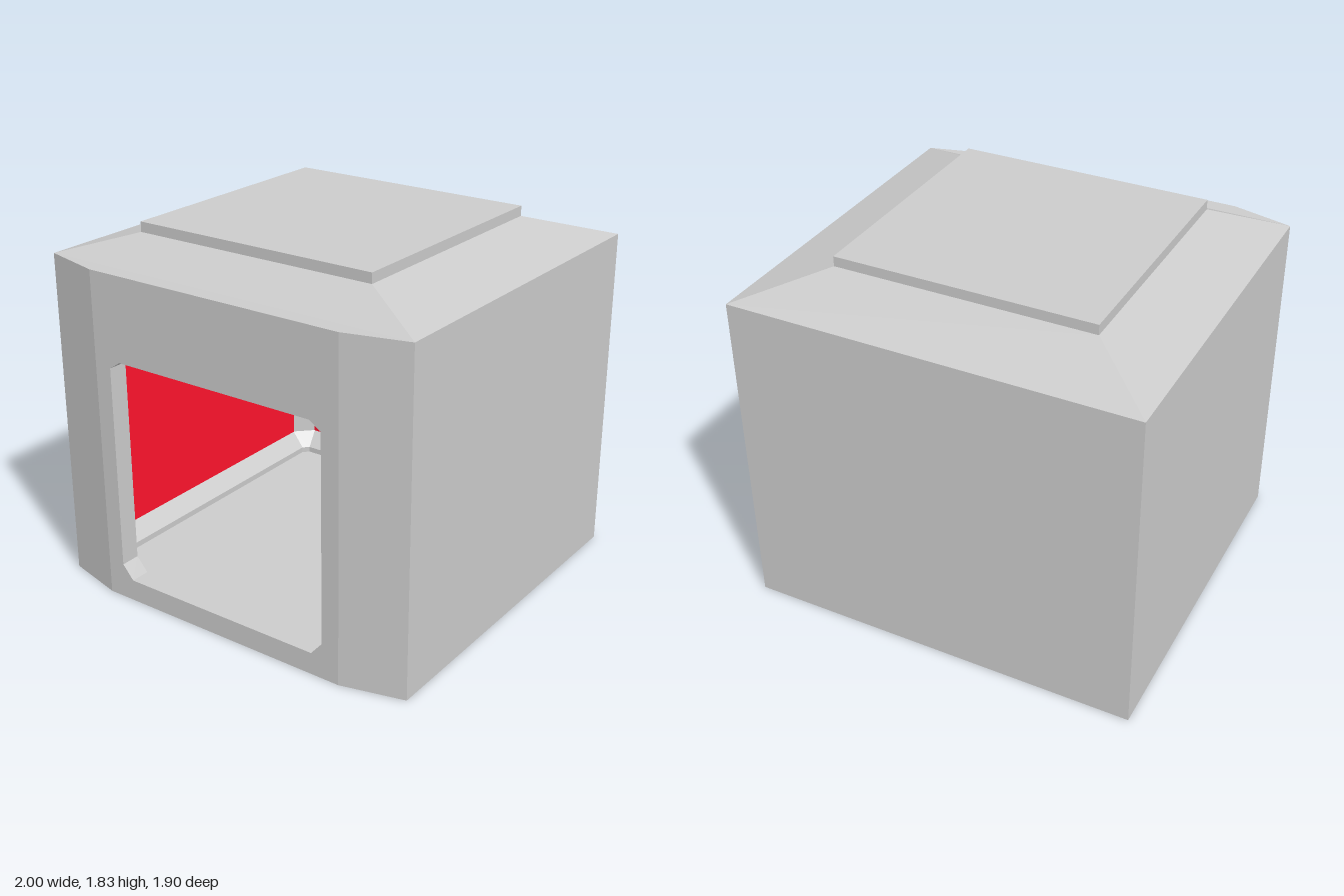
import * as THREE from 'three';

const grey = new THREE.MeshStandardMaterial({ color: 0xcccccc, flatShading: true, side: THREE.DoubleSide });
const red = new THREE.MeshStandardMaterial({ color: 0xff132d, flatShading: true, side: THREE.DoubleSide });

const H = 1.67; // wall height

// Solid with a plan outline of [x, z] points, from y0 to y1
function slab(plan, y0, y1) {
  const shape = new THREE.Shape(plan.map(([x, z]) => new THREE.Vector2(x, -z)));
  const g = new THREE.ExtrudeGeometry(shape, { depth: y1 - y0, bevelEnabled: false });
  return g.rotateX(-Math.PI / 2).translate(0, y0, 0);
}

// Flat-sided band joining two plan outlines at heights ya and yb
function band(a, ya, b, yb, closed = false) {
  const pos = [];
  const n = a.length;
  for (let i = 0; i < (closed ? n : n - 1); i++) {
    const j = (i + 1) % n;
    const p = [a[i][0], ya, a[i][1]], q = [a[j][0], ya, a[j][1]];
    const r = [b[j][0], yb, b[j][1]], s = [b[i][0], yb, b[i][1]];
    pos.push(...p, ...q, ...r, ...p, ...r, ...s);
  }
  const g = new THREE.BufferGeometry();
  g.setAttribute('position', new THREE.Float32BufferAttribute(pos, 3));
  g.computeVertexNormals();
  return g;
}

// Rectangle in plan, counter-clockwise from above
const rect = (x, back, front) => [[-x, front], [x, front], [x, back], [-x, back]];

export function createModel() {
  const model = new THREE.Group();
  const add = (name, geometry, material = grey) => {
    const mesh = new THREE.Mesh(geometry, material);
    mesh.name = name;
    model.add(mesh);
  };

  // Inner wall outline with cut back corners, open to the front
  const inner = [[-0.9, 0.85], [-0.9, -0.81], [-0.81, -0.9], [0.81, -0.9], [0.9, -0.81], [0.9, 0.85]];
  const inset = [[-0.82, 0.85], [-0.82, -0.79], [-0.79, -0.82], [0.79, -0.82], [0.82, -0.79], [0.82, 0.85]];

  // Side and back walls with angled front corners
  const outer = [[0.69, 0.95], [1, 0.87], [1, -0.95], [-1, -0.95], [-1, 0.87], [-0.69, 0.95]];
  add('sideAndBackWalls', slab([...outer, [-0.69, 0.85], ...inner, [0.69, 0.85]], 0, H));

  // Front wall with a chamfered opening
  const front = new THREE.Shape([[-0.69, 0], [0.69, 0], [0.69, H], [-0.69, H]].map(p => new THREE.Vector2(...p)));
  const opening = [[0.54, 0.11], [0.6, 0.18], [0.6, 1.21], [0.54, 1.25],
    [-0.54, 1.25], [-0.6, 1.21], [-0.6, 0.18], [-0.54, 0.11]];
  front.holes.push(new THREE.Path(opening.map(p => new THREE.Vector2(...p))));
  add('frontWall', new THREE.ExtrudeGeometry(front, { depth: 0.1, bevelEnabled: false }).translate(0, 0, 0.85));

  // Floor and ceiling, each with a sloped skirting and a small step
  add('floor', slab(inner, 0, 0.055));
  add('ceiling', slab(inner, 1.335, H));
  for (const [name, wallY, stepY, flatY] of [['floor', 0.16, 0.085, 0.055], ['ceiling', 1.23, 1.305, 1.335]]) {
    add(name + 'Skirting', band(inner, wallY, inset, stepY));
    add(name + 'Step', band(inset, stepY, inset, flatY));
  }

  // Coloured lining panels
  const e = 0.897;
  for (const s of [-1, 1]) {
    const side = [[s * e, 0.85], [s * e, -0.81]];
    add(s < 0 ? 'rightLining' : 'leftLining', band(side, 0.16, side, 1.23), red);
  }
  const back = [[-0.81, -e], [0.81, -e]];
  add('backLining', band(back, 0.16, back, 1.23), red);

  // Sloped roof and its raised top plate
  add('roofSlopes', band(rect(1, -0.95, 0.87), H, rect(0.645, -0.61, 0.65), 1.78, true));
  add('roofPlate', slab(rect(0.645, -0.61, 0.65), 1.76, 1.83));

  return model;
}
